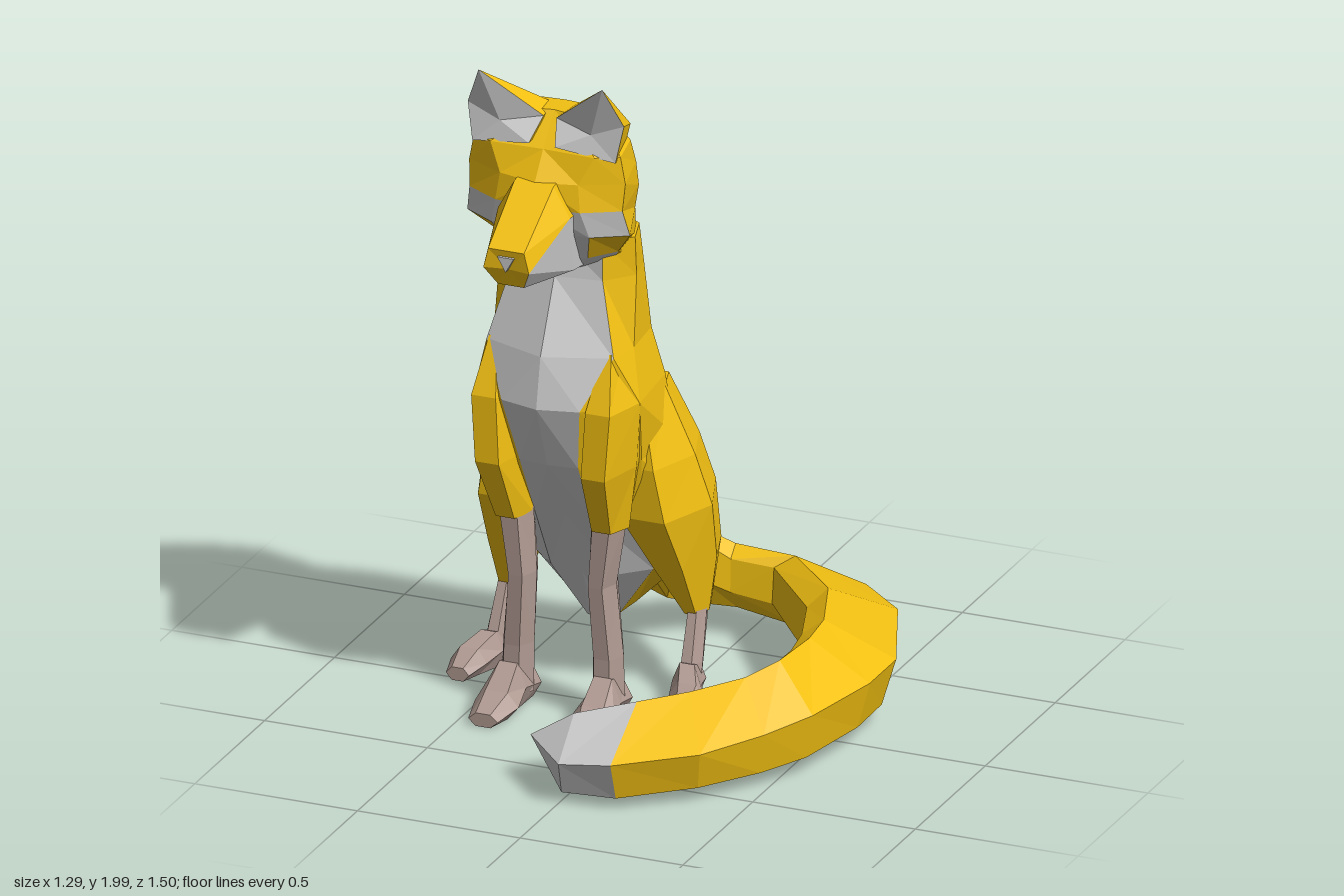
import * as THREE from 'three';

const paint = (color) => new THREE.MeshStandardMaterial({ color, flatShading: true });
const FUR = paint(0xf2c012), PALE = paint(0xcccccc), PAW = paint(0xb09a92);

// Skins a list of equal-length point rings, closes both ends, and splits the faces by material.
function loft(name, rings, pick) {
  const faces = [];
  const add = (a, b, c, mat) => {
    const area = new THREE.Triangle(a, b, c).getArea();
    if (area > 1e-7) faces.push([a, b, c, mat]);
  };
  const R = rings.map((r) => r.map((p) => new THREE.Vector3(...p)));
  const n = R[0].length, last = R.length - 1;
  for (let i = 0; i < last; i++) {
    for (let s = 0; s < n; s++) {
      const t = (s + 1) % n, mat = pick(i, s);
      // Diagonals mirror between the two halves
      if (s < n / 2) {
        add(R[i][s], R[i][t], R[i + 1][s], mat);
        add(R[i][t], R[i + 1][t], R[i + 1][s], mat);
      } else {
        add(R[i][s], R[i][t], R[i + 1][t], mat);
        add(R[i][s], R[i + 1][t], R[i + 1][s], mat);
      }
    }
  }
  for (const [k, row] of [[0, 0], [last, last - 1]]) {
    const mid = R[k].reduce((m, p) => m.addScaledVector(p, 1 / n), new THREE.Vector3());
    for (let s = 0; s < n; s++) {
      const a = R[k][s], b = R[k][(s + 1) % n];
      if (k === 0) add(b, a, mid, pick(row, -1));
      else add(a, b, mid, pick(row, -1));
    }
  }
  // Turn the faces outward using the signed volume
  const origin = R[0][0];
  const volume = faces.reduce((v, [a, b, c]) => v + a.clone().sub(origin)
    .dot(b.clone().sub(origin).cross(c.clone().sub(origin))), 0);
  const group = new THREE.Group();
  group.name = name;
  for (const mat of new Set(faces.map((f) => f[3]))) {
    const pts = faces.filter((f) => f[3] === mat)
      .flatMap(([a, b, c]) => (volume < 0 ? [a, c, b] : [a, b, c]));
    const geo = new THREE.BufferGeometry().setFromPoints(pts);
    geo.computeVertexNormals();
    const mesh = new THREE.Mesh(geo, mat);
    mesh.name = name + (mat === FUR ? 'Fur' : mat === PALE ? 'Pale' : 'Paw');
    group.add(mesh);
  }
  return group;
}

// Symmetric level ring: centre front z, [x, z] points down one side, centre back z.
const level = (y, front, side, back) => [
  [0, y, front], ...side.map(([x, z]) => [x, y, z]),
  [0, y, back], ...side.slice().reverse().map(([x, z]) => [-x, y, z]),
];

// Six-sided outline filling the range a0..a1 by b0..b1.
const hex = (a0, a1, b0, b1) => [0, 1, 2, 3, 4, 5].map((k) => {
  const t = k * Math.PI / 3;
  return [(a0 + a1) / 2 + Math.cos(t) * (a1 - a0) / 2,
    (b0 + b1) / 2 + Math.sin(t) / 0.866 * (b1 - b0) / 2];
});
const flat = ([y, x0, x1, z0, z1]) => hex(x0, x1, z0, z1).map(([x, z]) => [x, y, z]);
const upright = ([z, x0, x1, y0, y1]) => hex(x0, x1, y0, y1).map(([x, y]) => [x, y, z]);
const mirror = (rings, side) => rings.map((r) => r.map(([x, y, z]) => [x * side, y, z]));

function makeTail() {
  // Outer x, z, inner x, z, bottom y, top y
  const path = [
    [-0.19, -0.35, 0.18, -0.33, 0.3, 0.58], [-0.05, -0.5, 0.14, -0.45, 0.15, 0.48],
    [0.06, -0.63, 0.17, -0.52, 0.11, 0.35], [0.22, -0.755, 0.24, -0.55, 0.09, 0.29],
    [0.59, -0.71, 0.36, -0.57, 0.06, 0.28], [0.76, -0.54, 0.59, -0.27, 0.05, 0.32],
    [0.905, -0.19, 0.66, -0.07, 0.05, 0.33], [0.905, 0, 0.68, 0.05, 0.05, 0.33],
    [0.85, 0.28, 0.68, 0.2, 0.05, 0.33], [0.76, 0.42, 0.62, 0.27, 0.04, 0.3],
    [0.64, 0.6, 0.5, 0.36, 0.04, 0.28], [0.43, 0.75, 0.41, 0.45, 0.03, 0.27],
    [0.27, 0.75, 0.24, 0.53, 0.03, 0.23], [0.12, 0.6, 0.12, 0.6, 0.15, 0.15],
  ];
  // Section as [inner to outer, bottom to top]
  const section = [[1, 0.55], [0.25, 1], [0.02, 0.85], [0, 0.35], [0.3, 0], [0.85, 0.06]];
  const rings = path.map(([xo, zo, xi, zi, y0, y1]) => section.map(([u, v]) =>
    [xi + (xo - xi) * u, y0 + (y1 - y0) * v, zi + (zo - zi) * u]));
  return loft('tail', rings, (row) => (row >= 11 ? PALE : FUR));
}

export function createModel() {
  const model = new THREE.Group();
  model.name = 'sittingFox';
  const fox = new THREE.Group();
  fox.name = 'fox';
  fox.position.x = -0.26;
  model.add(fox);
  const half = (s) => Math.min(s, 9 - s);

  // Torso with pale chest and belly
  fox.add(loft('torso', [
    level(0.20, -0.15, [[0.03, -0.16], [0.05, -0.2], [0.06, -0.3], [0.05, -0.38]], -0.41),
    level(0.38, -0.05, [[0.1, -0.06], [0.18, -0.14], [0.24, -0.27], [0.2, -0.38]], -0.49),
    level(0.60, 0.07, [[0.09, 0.08], [0.2, 0], [0.27, -0.2], [0.2, -0.345]], -0.42),
    level(0.80, 0.20, [[0.09, 0.19], [0.23, 0.06], [0.25, -0.14], [0.16, -0.28]], -0.345),
    level(1.00, 0.28, [[0.12, 0.25], [0.25, 0.12], [0.23, -0.11], [0.13, -0.23]], -0.285),
    level(1.15, 0.25, [[0.195, 0.18], [0.215, 0.08], [0.2, -0.08], [0.11, -0.2]], -0.235),
    level(1.36, 0.15, [[0.14, 0.13], [0.21, 0.05], [0.19, -0.05], [0.1, -0.12]], -0.14),
    level(1.48, 0.13, [[0.14, 0.13], [0.21, 0.06], [0.18, -0.04], [0.09, -0.09]], -0.1),
  ], (row, s) => (s >= 0 && half(s) === 0) || (row < 2 && half(s) === 1) ? PALE : FUR));

  // Head with pale cheeks and throat
  fox.add(loft('head', [
    level(1.38, 0.14, [[0.05, 0.13], [0.13, 0.06], [0.17, -0.04], [0.09, -0.09]], -0.1),
    level(1.45, 0.20, [[0.12, 0.19], [0.18, 0.11], [0.17, -0.04], [0.09, -0.09]], -0.1),
    level(1.54, 0.25, [[0.15, 0.25], [0.25, 0.19], [0.18, -0.01], [0.1, -0.09]], -0.11),
    level(1.62, 0.28, [[0.13, 0.27], [0.235, 0.21], [0.2, 0.01], [0.1, -0.08]], -0.11),
    level(1.70, 0.29, [[0.12, 0.26], [0.24, 0.2], [0.2, 0.03], [0.11, -0.05]], -0.07),
    level(1.78, 0.23, [[0.16, 0.235], [0.225, 0.2], [0.2, 0.07], [0.11, 0]], -0.02),
    level(1.87, 0.15, [[0.05, 0.16], [0.14, 0.14], [0.13, 0.09], [0.06, 0.075]], 0.07),
  ], (row, s) => (row < 2 && half(s) === 0) || (row % 2 === 0 && row < 3 && half(s) <= 1)
    ? PALE : FUR));

  // Muzzle: three points per side, top to bottom
  const snout = [
    [[0.06, 1.71, 0.18], [0.11, 1.60, 0.18], [0.09, 1.41, 0.15]],
    [[0.06, 1.70, 0.295], [0.11, 1.61, 0.295], [0.10, 1.43, 0.24]],
    [[0.055, 1.57, 0.495], [0.07, 1.51, 0.495], [0.04, 1.45, 0.46]],
  ].map((r) => [...r, ...r.slice().reverse().map(([x, y, z]) => [-x, y, z])]);
  fox.add(loft('muzzle', snout, (row, s) => (s >= 1 && s <= 3 ? PALE : FUR)));
  const nose = [[-0.025, 1.55], [0.025, 1.55], [0, 1.505]];
  fox.add(loft('nose', [0.48, 0.5].map((z) => nose.map(([x, y]) => [x, y, z])), () => PALE));

  for (const side of [1, -1]) {
    const tag = side > 0 ? 'left' : 'right';
    const limb = (name, rings, mat) => fox.add(loft(tag + name, mirror(rings, side), () => mat));

    // Ear: furry back sunk into the head, dished pale inside
    const root = [[0.15, 1.89, 0.11], [0.2, 1.83, 0.07], [0.19, 1.75, 0.1],
      [0.04, 1.8, 0.14], [0.03, 1.86, 0.08]];
    const rim = [[0.19, 2, 0.25], [0.24, 1.88, 0.21], [0.22, 1.77, 0.225],
      [0.04, 1.795, 0.24], [0.02, 1.86, 0.18]];
    const ear = [root, rim, rim.map(() => [0.14, 1.84, 0.215])];
    fox.add(loft(tag + 'Ear', mirror(ear, side), (row) => (row ? PALE : FUR)));

    // Front leg
    limb('Shoulder', [[0.60, 0.09, 0.205, 0.02, 0.16], [0.80, 0.09, 0.235, -0.04, 0.255],
      [1.00, 0.1, 0.25, -0.02, 0.25], [1.16, 0.15, 0.2, 0.04, 0.18]].map(flat), FUR);
    limb('FrontLeg', [[0.05, 0.09, 0.19, 0.03, 0.14], [0.20, 0.09, 0.185, 0.03, 0.135],
      [0.42, 0.08, 0.165, 0.03, 0.145], [0.64, 0.09, 0.2, 0.03, 0.15]].map(flat), PAW);
    limb('FrontPaw', [[0.03, 0.09, 0.19, 0.01, 0.1], [0.14, 0.09, 0.2, 0.01, 0.15],
      [0.22, 0.08, 0.215, 0.01, 0.09], [0.30, 0.11, 0.2, 0.01, 0.05]].map(upright), PAW);

    // Hind leg
    limb('Haunch', [[0.25, 0.25, 0.32, -0.27, -0.16], [0.42, 0.16, 0.345, -0.35, -0.07],
      [0.60, 0.08, 0.355, -0.34, 0.03], [0.76, 0.08, 0.315, -0.29, 0.04],
      [0.97, 0.12, 0.235, -0.19, 0]].map(flat), FUR);
    limb('HindLeg', [[0.04, 0.265, 0.33, -0.17, -0.08], [0.12, 0.265, 0.33, -0.19, -0.1],
      [0.29, 0.265, 0.315, -0.26, -0.17]].map(flat), PAW);
    limb('HindPaw', [[-0.17, 0.26, 0.33, 0.02, 0.1], [-0.09, 0.26, 0.35, 0.02, 0.13],
      [-0.02, 0.28, 0.39, 0.02, 0.1], [0.04, 0.31, 0.38, 0.02, 0.06]].map(upright), PAW);
  }

  fox.add(makeTail());
  return model;
}
